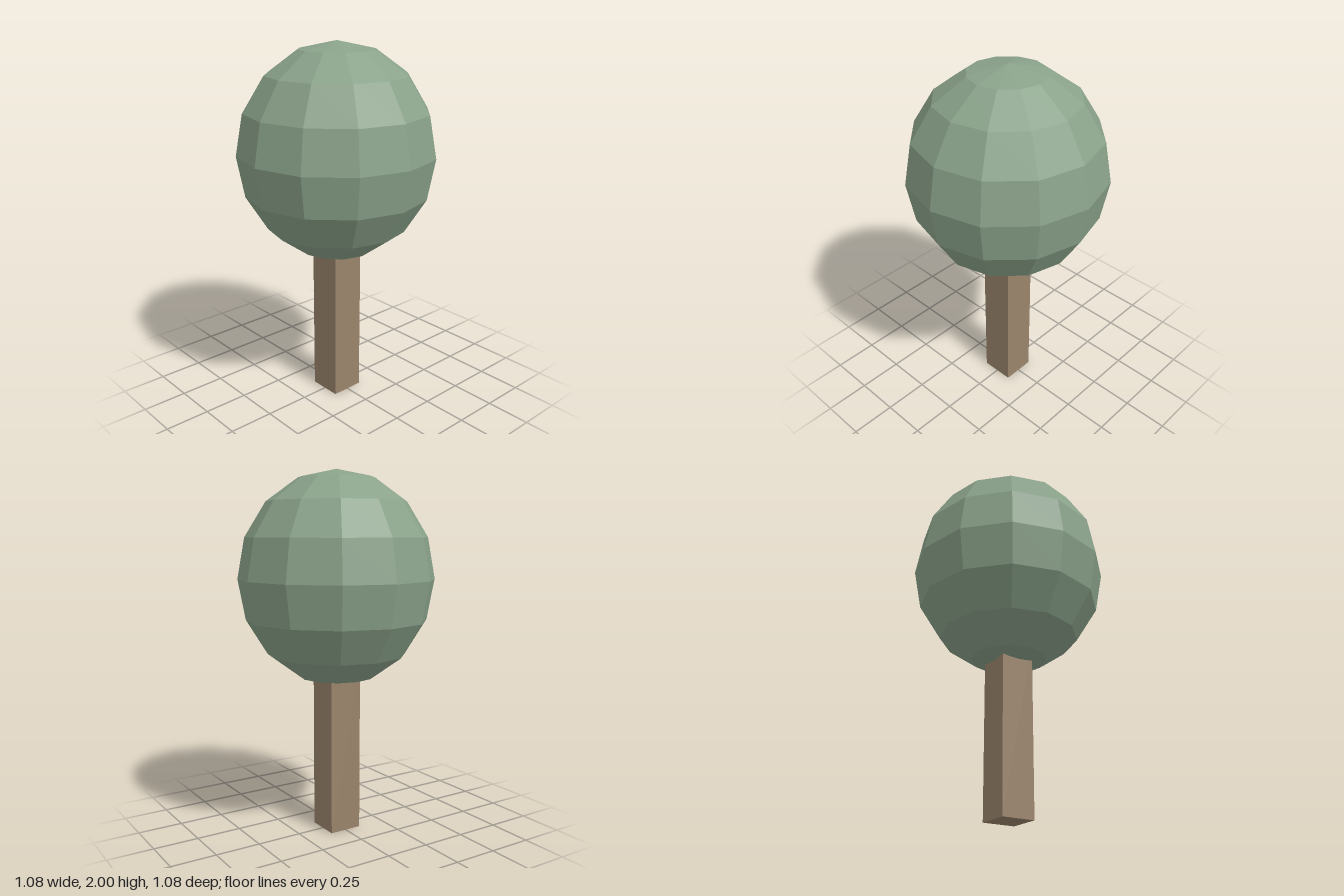
import * as THREE from 'three';

const CANOPY = { radius: 0.54, halfHeight: 0.585, centre: 1.415 };
const TRUNK = { width: 0.187, height: 0.95 };

function addPart(group, name, geometry, color) {
  const material = new THREE.MeshStandardMaterial({ color, flatShading: true });
  const mesh = new THREE.Mesh(geometry, material);
  mesh.name = name;
  group.add(mesh);
}

export function createModel() {
  const tree = new THREE.Group();
  tree.name = 'tree';

  // Square trunk, its top sunk into the canopy
  const trunk = new THREE.BoxGeometry(TRUNK.width, TRUNK.height, TRUNK.width);
  trunk.translate(0, TRUNK.height / 2, 0);
  addPart(tree, 'trunk', trunk, 0x9a846b);

  // Faceted canopy, slightly taller than wide
  const canopy = new THREE.SphereGeometry(1, 12, 8);
  canopy.scale(CANOPY.radius, CANOPY.halfHeight, CANOPY.radius);
  canopy.translate(0, CANOPY.centre, 0);
  addPart(tree, 'canopy', canopy, 0x8aa28a);

  return tree;
}
